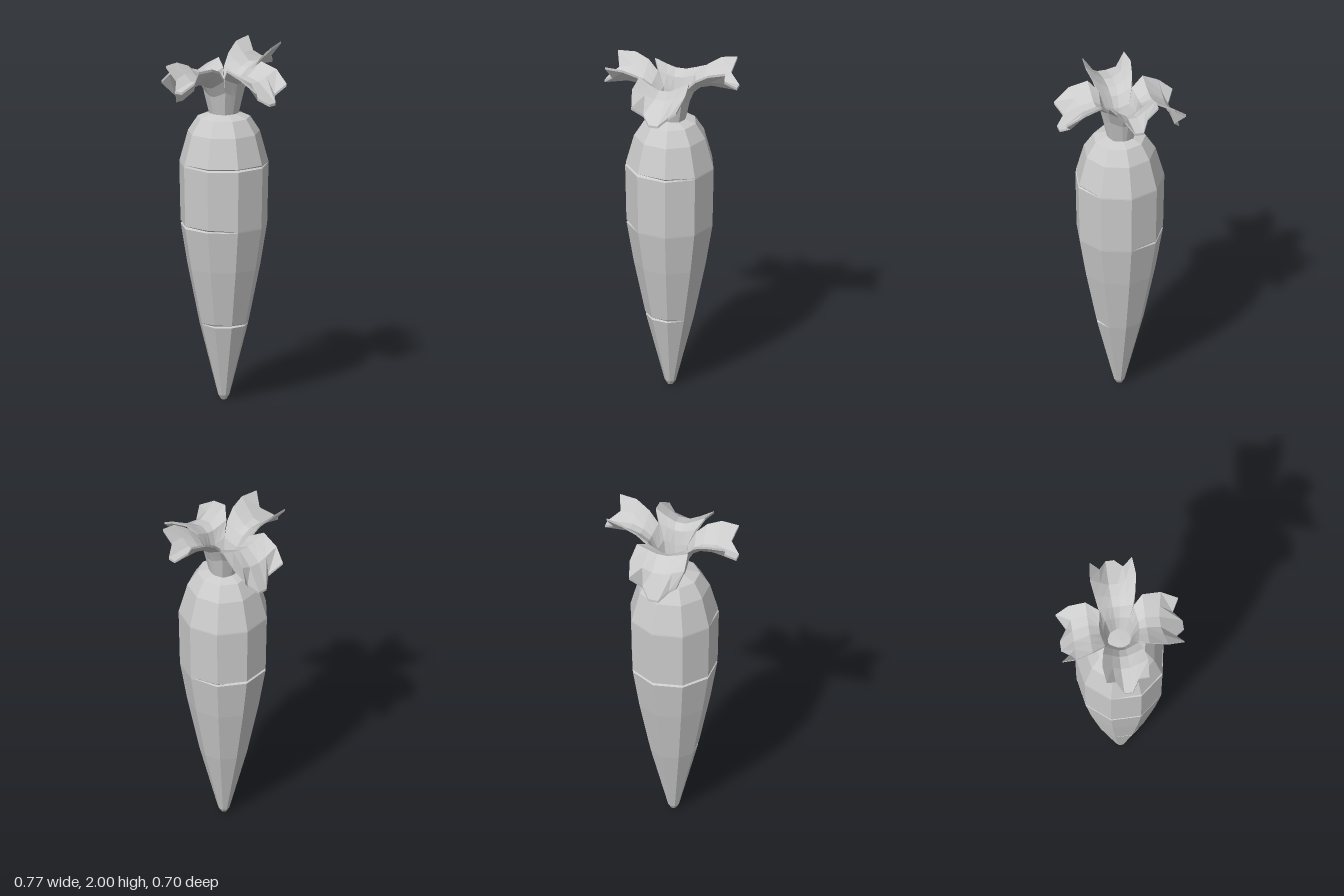
import * as THREE from 'three';

const SIDES = 9;
const material = () => new THREE.MeshStandardMaterial({ color: 0xcccccc, flatShading: true });

// Root: nine-sided lathe with three shallow grooves pressed into some of its columns
function createRoot() {
  const profile = [
    [0, 0], [0.016, 0], [0.032, 0.025], [0.137, 0.43], [0.205, 0.76], [0.245, 1.0],
    [0.2526, 1.35], [0.203, 1.53], [0.148, 1.615], [0.075, 1.637], [0, 1.64],
  ];
  // Columns are counted from +x round through the back, 40 degrees each
  const grooves = [
    { y: 0.44, first: 5, last: 7 },
    { y: 1.005, first: 1, last: 5 },
    { y: 1.355, first: 5, last: 7 },
  ];
  const radiusAt = (y) => {
    const i = profile.findIndex((p, k) => k > 1 && p[1] >= y);
    const [r0, y0] = profile[i - 1], [r1, y1] = profile[i];
    return r0 + (r1 - r0) * (y - y0) / (y1 - y0);
  };
  const rings = profile.filter(([, y]) => !grooves.some((g) => Math.abs(g.y - y) < 0.012));
  for (const g of grooves) {
    for (const dy of [-0.008, 0, 0.008]) rings.push([radiusAt(g.y + dy), g.y + dy]);
  }
  rings.sort((a, b) => a[1] - b[1] || a[0] - b[0]);

  const geo = new THREE.LatheGeometry(rings.map(([r, y]) => new THREE.Vector2(r, y)), SIDES, Math.PI / 2);
  const pos = geo.attributes.position;
  for (let i = 0; i < pos.count; i++) {
    const column = Math.floor(i / rings.length);
    const g = grooves.find((q) => Math.abs(q.y - pos.getY(i)) < 0.001);
    if (!g || column < g.first || column > g.last) continue;
    const depth = column === g.first || column === g.last ? 0.008 : 0.02;
    const k = 1 - depth / Math.hypot(pos.getX(i), pos.getZ(i));
    pos.setX(i, pos.getX(i) * k);
    pos.setZ(i, pos.getZ(i) * k);
  }
  const root = new THREE.Mesh(geo, material());
  root.name = 'root';
  root.position.set(-0.0076, 0, -0.0065);
  return root;
}

// Leaf: channel-shaped blade along +z with a three-pointed end.
// Each station is [centre reach, centre height, edge reach, edge height, half width].
function createLeaf(name, stations, angle) {
  const across = [-1, -0.55, -0.2, 0.2, 0.55, 1];
  const rise = [1, 0.4, 0, 0, 0.4, 1];
  const thickness = 0.014;
  const rows = stations.length, cols = across.length;
  const top = [], bottom = [];
  stations.forEach(([dC, yC, dE, yE, w], r) => {
    const tilt = Math.min(r / 3, 1) * Math.PI / 2;
    across.forEach((u, c) => {
      let d = dC + (dE - dC) * rise[c];
      if (r === rows - 1 && rise[c] === 0.4) d -= 0.045; // notch between points
      const p = new THREE.Vector3(u * w, yC + (yE - yC) * rise[c], d);
      top.push(p);
      bottom.push(p.clone().add(new THREE.Vector3(
        u * Math.cos(tilt) * thickness, -Math.sin(tilt) * thickness, Math.cos(tilt) * thickness)));
    });
  });

  const points = [...top, ...bottom], n = top.length, index = [];
  const at = (r, c) => r * cols + c;
  for (let r = 0; r < rows - 1; r++) {
    for (let c = 0; c < cols - 1; c++) {
      const a = at(r, c), b = at(r + 1, c), e = at(r + 1, c + 1), f = at(r, c + 1);
      index.push(a, b, f, b, e, f);
      index.push(a + n, f + n, b + n, b + n, f + n, e + n);
    }
  }
  // Rim joining the upper and lower skins
  const rim = [];
  for (let c = 0; c < cols - 1; c++) rim.push(at(rows - 1, c));
  for (let r = rows - 1; r > 0; r--) rim.push(at(r, cols - 1));
  for (let c = cols - 1; c > 0; c--) rim.push(at(0, c));
  for (let r = 0; r < rows - 1; r++) rim.push(at(r, 0));
  rim.forEach((a, i) => {
    const b = rim[(i + 1) % rim.length];
    index.push(a, a + n, b, b, a + n, b + n);
  });

  const geo = new THREE.BufferGeometry().setFromPoints(points);
  geo.setIndex(index);
  geo.computeVertexNormals();
  const leaf = new THREE.Mesh(geo, material());
  leaf.name = name;
  leaf.rotation.y = angle;
  return leaf;
}

export function createModel() {
  const model = new THREE.Group();
  model.name = 'carrot';
  model.add(createRoot());

  // Leaf cluster: all four share the same stalk and differ in how far they droop
  const stalk = [
    [0.062, 1.63, 0.044, 1.63, 0.044],
    [0.088, 1.75, 0.07, 1.78, 0.07],
  ];
  const blades = {
    frontLeaf: [[0.11, 1.83, 0.095, 1.87, 0.105], [0.15, 1.86, 0.15, 1.925, 0.145],
      [0.23, 1.84, 0.255, 1.895, 0.155], [0.36, 1.74, 0.35, 1.83, 0.13]],
    leftLeaf: [[0.125, 1.83, 0.11, 1.87, 0.095], [0.175, 1.865, 0.17, 1.93, 0.115],
      [0.24, 1.885, 0.25, 1.98, 0.13], [0.385, 1.875, 0.345, 2.0, 0.12]],
    backLeaf: [[0.11, 1.83, 0.095, 1.86, 0.105], [0.17, 1.86, 0.17, 1.9, 0.15],
      [0.26, 1.795, 0.265, 1.85, 0.16], [0.33, 1.66, 0.34, 1.79, 0.14]],
    rightLeaf: [[0.125, 1.81, 0.11, 1.86, 0.095], [0.175, 1.84, 0.17, 1.915, 0.115],
      [0.25, 1.85, 0.25, 1.945, 0.13], [0.385, 1.82, 0.352, 1.945, 0.12]],
  };
  const leaves = new THREE.Group();
  leaves.name = 'leaves';
  leaves.position.z = -0.012;
  Object.entries(blades).forEach(([name, blade], i) => {
    leaves.add(createLeaf(name, [...stalk, ...blade], i * Math.PI / 2));
  });
  model.add(leaves);
  return model;
}
